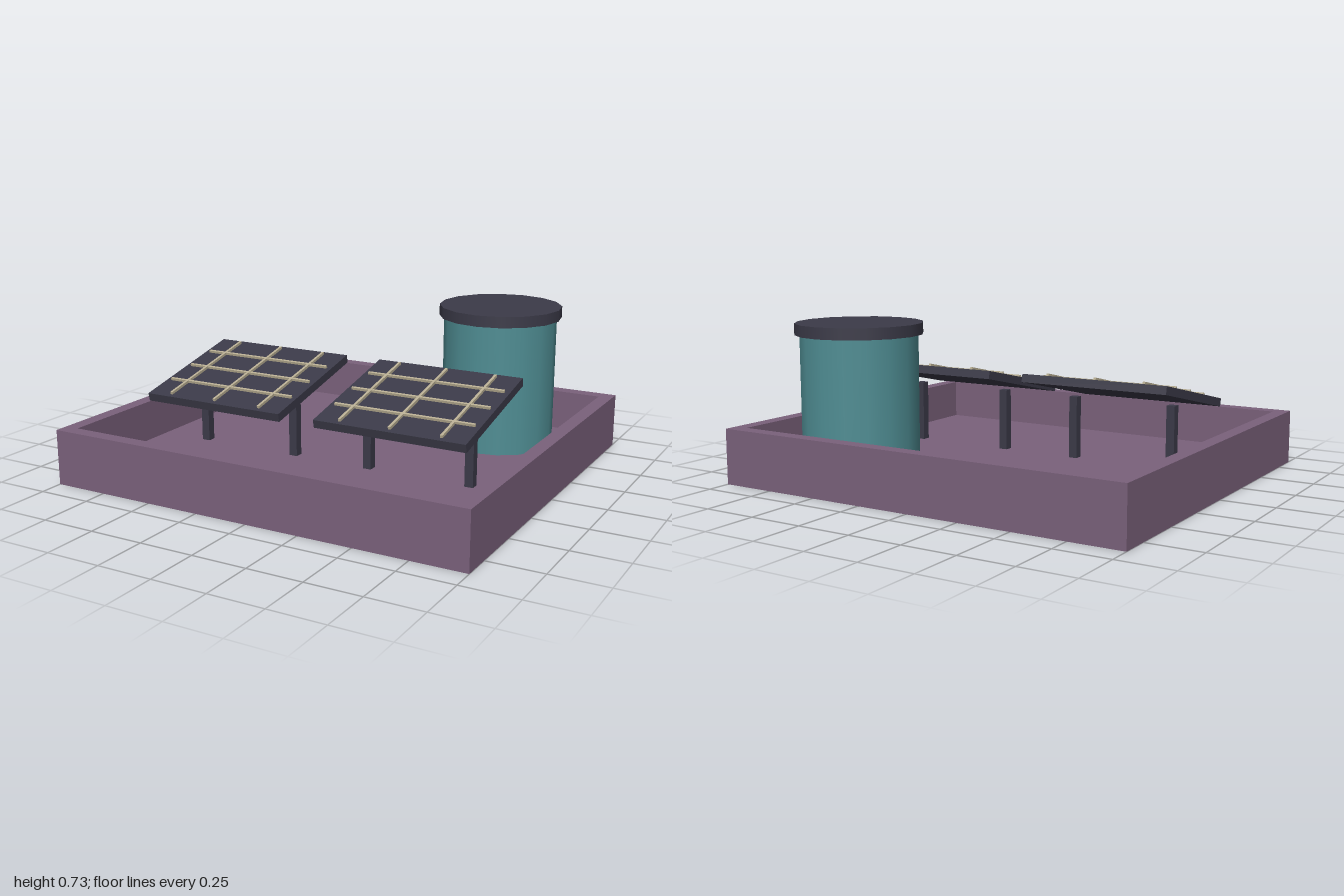
import * as THREE from 'three';

const mat = (name, color) => {
  const m = new THREE.MeshStandardMaterial({ color });
  m.name = name;
  return m;
};

export function createModel() {
  const purple = mat('purple', 0x7a617b);
  const teal = mat('teal', 0x4f8d93);
  const dark = mat('darkSlate', 0x3b3a48);
  const beige = mat('beige', 0xb9af93);

  const model = new THREE.Group();
  model.name = 'rooftop';

  const add = (parent, name, geometry, material, x = 0, y = 0, z = 0) => {
    const mesh = new THREE.Mesh(geometry, material);
    mesh.name = name;
    mesh.position.set(x, y, z);
    parent.add(mesh);
    return mesh;
  };
  const box = (w, h, d) => new THREE.BoxGeometry(w, h, d);

  // Tray: floor slab surrounded by a parapet
  const W = 1, D = 0.89, H = 0.255, wall = 0.065, floorY = 0.065;
  const rect = (C, w, d) => new C([[-w, -d], [w, -d], [w, d], [-w, d]].map(p => new THREE.Vector2(...p)));
  const outline = rect(THREE.Shape, W, D);
  outline.holes.push(rect(THREE.Path, W - wall, D - wall));
  const parapet = new THREE.ExtrudeGeometry(outline, { depth: H, bevelEnabled: false });
  parapet.rotateX(-Math.PI / 2);
  add(model, 'parapet', parapet, purple);
  add(model, 'floor', box(2 * (W - wall), floorY, 2 * (D - wall)), purple, 0, floorY / 2, 0);

  // Water tank with overhanging lid
  const tank = new THREE.Group();
  tank.name = 'waterTank';
  tank.position.set(0.53, 0, -0.512);
  const lidBottom = 0.675;
  add(tank, 'tankBody', new THREE.CylinderGeometry(0.266, 0.266, lidBottom - floorY, 16), teal, 0, (lidBottom + floorY) / 2, 0);
  add(tank, 'tankLid', new THREE.CylinderGeometry(0.288, 0.288, 0.052, 16), dark, 0, lidBottom + 0.026, 0);
  model.add(tank);

  // Two tilted solar panels, each with grid bars and two legs
  for (const side of [-1, 1]) {
    const unit = new THREE.Group();
    unit.name = side < 0 ? 'rightSolarPanel' : 'leftSolarPanel';
    unit.position.set(side * 0.444, 0, 0.178);
    model.add(unit);

    const tilted = new THREE.Group();
    tilted.name = 'panel';
    tilted.position.y = 0.405;
    tilted.rotation.x = 0.22;
    unit.add(tilted);
    add(tilted, 'panelPlate', box(0.712, 0.038, 0.625), dark);
    for (const i of [-1, 0, 1]) {
      add(tilted, 'longBar', box(0.012, 0.012, 0.58), beige, i * 0.238, 0.025, 0);
      add(tilted, 'crossBar', box(0.665, 0.011, 0.012), beige, 0, 0.0245, i * 0.159);
    }

    const legTop = 0.357;
    for (const s of [-1, 1]) {
      add(unit, 'leg', box(0.04, legTop - floorY, 0.04), dark, s * 0.249, (legTop + floorY) / 2, 0);
    }
  }
  return model;
}
